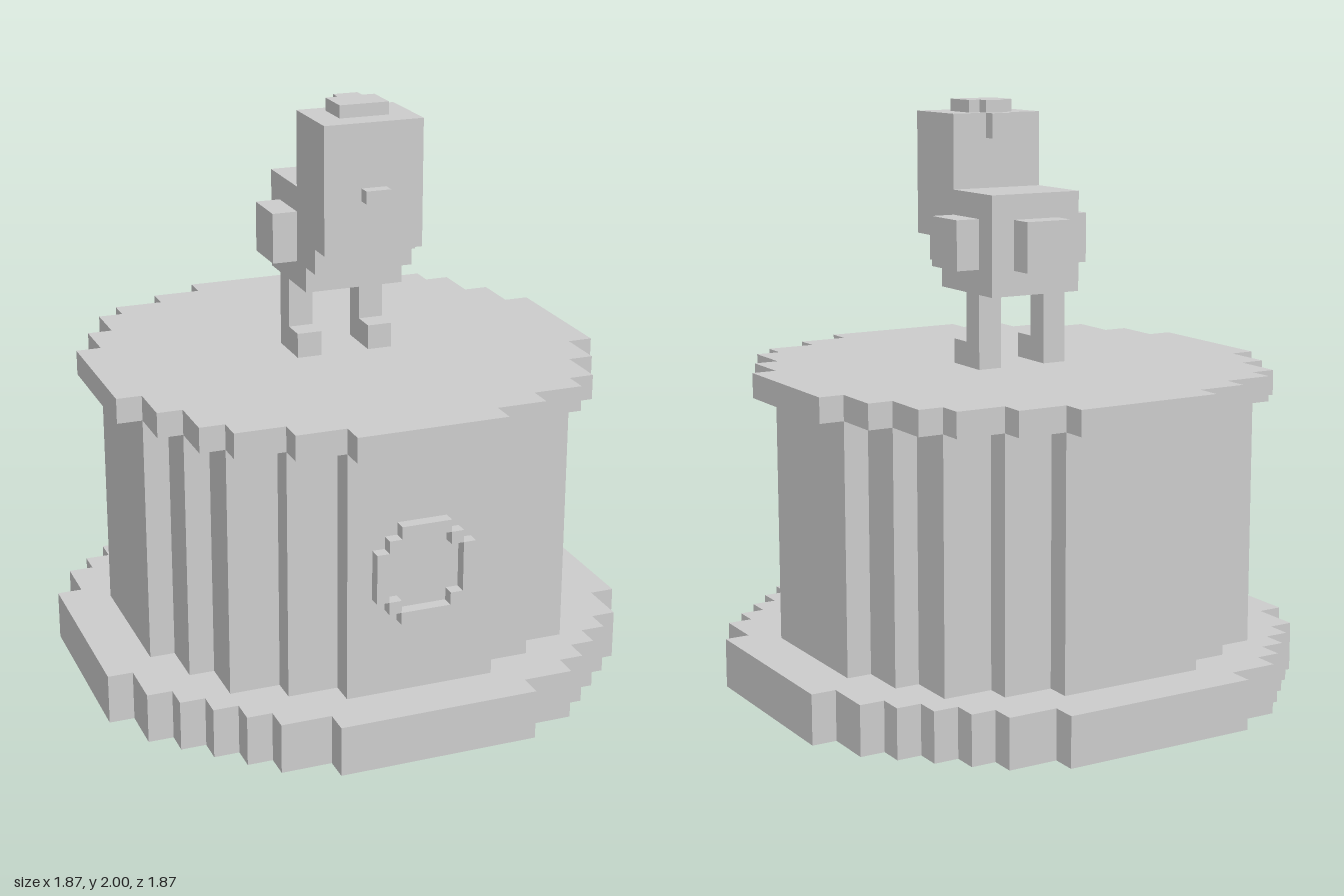
import * as THREE from 'three';

// One block of the grid; the model is 23.5 blocks tall
const U = 2 / 23.5;
const material = new THREE.MeshStandardMaterial({ color: 0xcccccc, flatShading: true });

// Box between two corners, given in blocks
function box(parent, name, [x0, x1], [y0, y1], [z0, z1]) {
  const mesh = new THREE.Mesh(
    new THREE.BoxGeometry((x1 - x0) * U, (y1 - y0) * U, (z1 - z0) * U), material);
  mesh.position.set((x0 + x1) / 2 * U, (y0 + y1) / 2 * U, (z0 + z1) / 2 * U);
  mesh.name = name;
  parent.add(mesh);
}

// Stepped disc: steps are the outer corners [x, z] of one quadrant, from +x round to +z
function steppedDisc(parent, name, steps, y0, y1) {
  const quadrant = [];
  steps.forEach(([x, z], i) => {
    quadrant.push([x, z]);
    if (i < steps.length - 1) quadrant.push([steps[i + 1][0], z]);
  });
  const points = [];
  for (let q = 0; q < 4; q++) {
    for (const [a, b] of quadrant) {
      const [x, y] = [[a, b], [-b, a], [-a, -b], [b, -a]][q];
      points.push(new THREE.Vector2(x * U, y * U));
    }
  }
  const geometry = new THREE.ExtrudeGeometry(new THREE.Shape(points), {
    depth: (y1 - y0) * U, bevelEnabled: false,
  });
  geometry.rotateX(-Math.PI / 2);
  const mesh = new THREE.Mesh(geometry, material);
  mesh.position.y = y0 * U;
  mesh.name = name;
  parent.add(mesh);
}

export function createModel() {
  const model = new THREE.Group();
  model.name = 'birdOnPedestal';

  // Pedestal
  const pedestal = new THREE.Group();
  pedestal.name = 'pedestal';
  model.add(pedestal);
  steppedDisc(pedestal, 'base', [[11, 4], [10, 6], [9, 7], [8, 8], [7, 9], [6, 10], [4, 11]], 0, 2);
  steppedDisc(pedestal, 'drum', [[9, 3], [8, 5], [7, 7], [5, 8], [3, 9]], 2, 12);
  steppedDisc(pedestal, 'topSlab', [[10, 3], [9, 5], [8, 7], [7, 8], [5, 9], [3, 10]], 12, 13);

  // Raised ring on the front of the drum
  const ring = new THREE.Group();
  ring.name = 'frontRing';
  ring.position.set(0, 7 * U, 9 * U);
  model.add(ring);
  const span = (a, b, s) => (s > 0 ? [a, b] : [-b, -a]);
  for (const s of [-1, 1]) {
    box(ring, 'ringHorizontal', [-1, 1], span(1.5, 2, s), [0, 0.5]);
    box(ring, 'ringVertical', span(1.5, 2, s), [-1, 1], [0, 0.5]);
    for (const t of [-1, 1]) box(ring, 'ringCorner', span(1, 1.5, s), span(1, 1.5, t), [0, 0.5]);
  }

  // Bird, standing on the slab
  const bird = new THREE.Group();
  bird.name = 'bird';
  bird.position.y = 13 * U;
  model.add(bird);
  box(bird, 'body', [-2, 2], [3, 7], [-2, 2]);
  box(bird, 'chest', [-2, 2], [4, 5], [2, 3]);
  box(bird, 'headLower', [-2, 2], [5, 7], [2, 4]);
  box(bird, 'headUpper', [-2, 2], [7, 10], [1, 4]);
  box(bird, 'beak', [-0.5, 0.5], [7, 7.5], [4, 4.5]);
  box(bird, 'tail', [-1, 1], [4, 6], [-3, -2]);
  for (const s of [-1, 1]) {
    box(bird, 'wing', span(2, 3, s), [4, 6], [-1, 1]);
    box(bird, 'leg', span(1, 2, s), [0, 3], [-1, 0]);
    box(bird, 'foot', span(1, 2, s), [0, 1], [0, 1]);
  }

  // Crest with a tuft hanging behind the head
  box(bird, 'crest', [-1, 1], [10, 10.5], [1.5, 3]);
  box(bird, 'crestStem', [-0.5, 0.5], [10, 10.5], [1, 1.5]);
  box(bird, 'crestTuft', [-0.5, 0.5], [9, 10], [0.5, 1]);

  return model;
}
